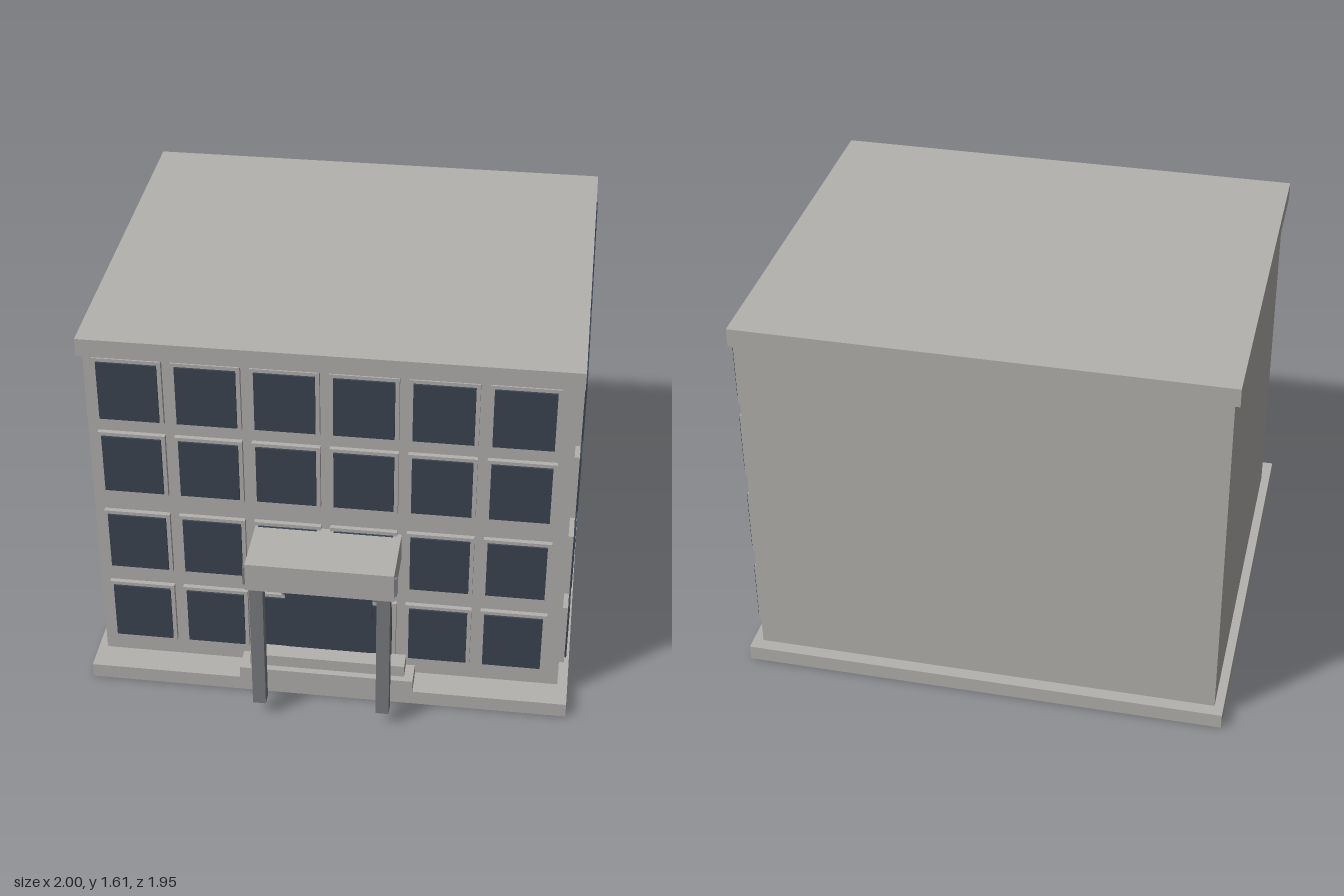
import * as THREE from 'three';

export function createModel() {
  const group = new THREE.Group();
  group.name = 'officeBuilding';

  const mat = (name, color) => {
    const m = new THREE.MeshStandardMaterial({ color });
    m.name = name;
    return m;
  };
  const concrete = mat('concrete', 0xb4b2af);
  const glass = mat('darkGlass', 0x3b4552);
  const metal = mat('greyMetal', 0x7b7d81);

  // Box given by its limits on each axis
  const box = (name, material, [x0, x1], [y0, y1], [z0, z1], parent = group) => {
    const mesh = new THREE.Mesh(new THREE.BoxGeometry(x1 - x0, y1 - y0, z1 - z0), material);
    mesh.position.set((x0 + x1) / 2, (y0 + y1) / 2, (z0 + z1) / 2);
    mesh.name = name;
    parent.add(mesh);
    return mesh;
  };

  // Main masses
  box('basePlinth', concrete, [-1, 1], [0, 0.064], [-0.98, 0.818]);
  box('walls', concrete, [-0.963, 0.958], [0.064, 1.535], [-0.927, 0.694]);
  box('roofSlab', concrete, [-0.984, 0.98], [1.535, 1.612], [-0.943, 0.713]);

  // Windows: raised frame with a thin pane; local z points out of the wall
  const rows = [0.293, 0.658, 1.042, 1.387];
  const addWindow = (parent, u, y) => {
    const win = new THREE.Group();
    win.name = 'window';
    win.position.set(u, y, 0);
    box('windowFrame', concrete, [-0.136, 0.136], [-0.145, 0.145], [-0.01, 0.02], win);
    box('windowPane', glass, [-0.12, 0.12], [-0.13, 0.13], [0.02, 0.028], win);
    parent.add(win);
  };

  const frontWindows = new THREE.Group();
  frontWindows.name = 'frontWindows';
  frontWindows.position.z = 0.694;
  const sideWindows = new THREE.Group();
  sideWindows.name = 'sideWindows';
  sideWindows.position.x = 0.959;
  sideWindows.rotation.y = Math.PI / 2;
  group.add(frontWindows, sideWindows);

  for (const y of rows) {
    for (let i = 0; i < 6; i++) addWindow(frontWindows, -0.787 + i * 0.3095, y);
    for (const z of [0.513, 0.2225, -0.105, -0.432, -0.759]) addWindow(sideWindows, -z, y);
  }

  // Entrance door
  box('doorSurround', metal, [-0.2, 0.196], [0.064, 0.55], [0.68, 0.712]);
  box('doorGlass', glass, [-0.184, 0.18], [0.17, 0.53], [0.715, 0.724]);

  // Steps
  box('lowerStep', concrete, [-0.365, 0.361], [0.06, 0.121], [0.716, 0.822]);
  box('upperStep', concrete, [-0.326, 0.323], [0.121, 0.174], [0.716, 0.794]);

  // Canopy, its side trim and the two posts
  box('canopy', concrete, [-0.299, 0.294], [0.66, 0.786], [0.70, 0.975]);
  box('canopyTrim', metal, [-0.31, 0.305], [0.684, 0.767], [0.952, 0.97]);
  for (const x of [-0.258, 0.252]) {
    box('canopyPost', metal, [x - 0.027, x + 0.027], [0.066, 0.66], [0.918, 0.97]);
  }

  return group;
}
